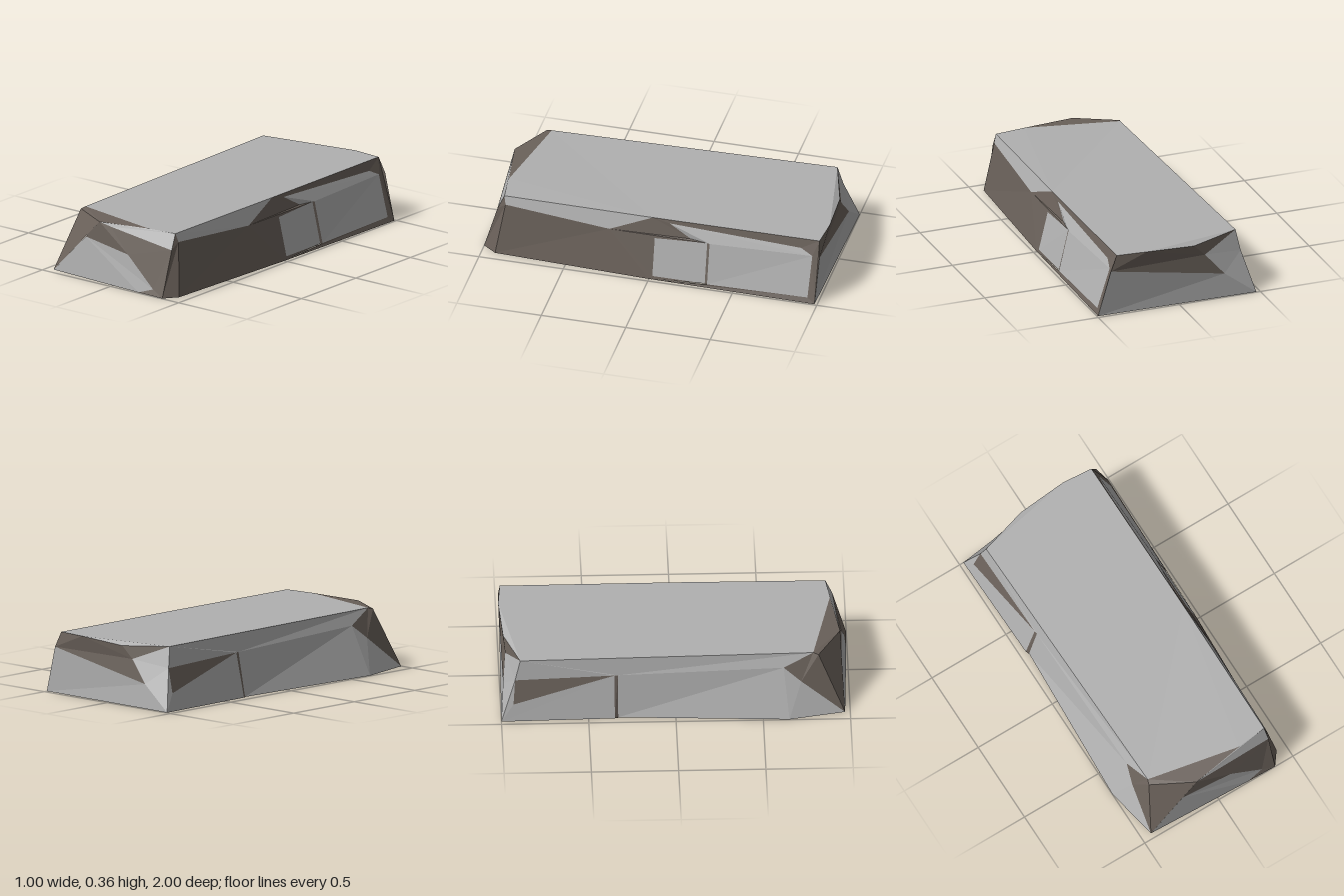
import * as THREE from 'three';

const stone = new THREE.MeshStandardMaterial({ color: 0xb0b0b0 });
stone.name = 'pale grey stone';
const earth = new THREE.MeshStandardMaterial({ color: 0x6a615a });
earth.name = 'brown grey stone';

// Corners of the chipped slab, grouped by where they sit
const V = {
  // rim of the top
  P: [-0.35, 0.358, 0.79], R: [0.2, 0.36, 0.9], S: [0.38, 0.36, 0.88], W: [0.385, 0.36, 0],
  K: [0.38, 0.36, -0.985], K2: [0.2, 0.36, -1], O: [-0.39, 0.36, -0.89],
  // outline of the base
  F: [-0.44, 0.005, 0.97], B0: [0.2, 0, 0.995], B: [0.38, 0, 1], C: [0.44, 0, 0.92],
  D: [0.48, 0, 0], E: [0.495, 0, -0.985], G: [-0.475, 0, -1],
  g1: [-0.46, 0, -0.35], g2: [-0.45, 0, -0.33], Lb: [-0.5, 0, 0.65],
  // front
  A: [-0.12, 0.35, 0.95], Q: [-0.36, 0.35, 0.82], M: [-0.04, 0.335, 0.945], T: [0.385, 0.27, 0.92],
  l1: [-0.216, 0.245, 0.956], l2: [0.1, 0.2, 0.965], l3: [0.3, 0.035, 0.985],
  // model's left side (+x)
  U: [0.395, 0.31, 0.87], v: [0.415, 0.26, 0.25], X: [0.39, 0.34, -0.1], Y: [0.405, 0.265, -0.23],
  Z: [0.395, 0.305, -0.88], z2: [0.41, 0.27, -0.95],
  a1: [0.475, 0.02, -0.02], a2: [0.42, 0.245, -0.02], a3: [0.418, 0.26, -0.33], a4: [0.475, 0.02, -0.33],
  b1: [0.48, 0.02, -0.345], b2: [0.422, 0.26, -0.345], b3: [0.482, 0.03, -0.94],
  // back
  H: [0.42, 0.27, -0.995], I: [-0.17, 0.27, -0.97], J: [-0.285, 0.14, -0.985],
  N: [-0.41, 0.24, -0.92], m: [-0.1, 0.34, -0.98],
  // model's right side (-x)
  c: [-0.45, 0.1, -0.93], n2: [-0.4, 0.255, -0.35], n3: [-0.385, 0.28, 0.62],
  n2b: [-0.398, 0.255, -0.33], n4: [-0.41, 0.2, 0.72],
};

// Flat-sided patch from polygons; each is fanned and turned to face outwards
function patch(name, material, polygons) {
  const out = [];
  for (const word of polygons) {
    const p = word.split(' ').map((k) => new THREE.Vector3(...V[k]));
    for (let i = 1; i < p.length - 1; i++) {
      const t = [p[0], p[i], p[i + 1]];
      const n = new THREE.Vector3().subVectors(t[1], t[0]).cross(new THREE.Vector3().subVectors(t[2], t[0]));
      const mid = t[0].clone().add(t[1]).add(t[2]).divideScalar(3);
      mid.sub(new THREE.Vector3(0, 0.18, THREE.MathUtils.clamp(mid.z, -0.6, 0.6)));
      if (n.dot(mid) < 0) t.reverse();
      t.forEach((q) => out.push(q.x, q.y, q.z));
    }
  }
  const g = new THREE.BufferGeometry();
  g.setAttribute('position', new THREE.Float32BufferAttribute(out, 3));
  g.computeVertexNormals();
  const mesh = new THREE.Mesh(g, material);
  mesh.name = name;
  return mesh;
}

export function createModel() {
  const slab = new THREE.Group();
  slab.name = 'stoneSlab';

  // Top and underside
  slab.add(patch('topFace', stone, ['W K K2 O P R S']));
  slab.add(patch('underside', stone, ['D E G g1 g2 Lb F B0 B C']));

  // Front end
  slab.add(patch('frontChips', stone, ['l1 F B0 l3 l2', 'M T S', 'A M S R']));
  slab.add(patch('frontFace', earth, [
    'A l1 l2 M', 'M l2 T', 'l2 l3 T', 'l3 B T', 'B0 B l3', 'F A Q', 'Q A P', 'P A R',
    'B C U T', 'T U S',
  ]));

  // Left side with its two worn panels and the groove between
  slab.add(patch('leftPanels', stone, [
    'S U v W', 'a1 a2 a3 a4', 'b1 b2 z2 b3', 'X Y b2', 'X b2 z2 Z', 'Y a3 b2',
  ]));
  slab.add(patch('leftFace', earth, [
    'C D v U', 'W X Y v', 'W K Z X', 'K z2 Z', 'v Y a3 a2', 'v a2 a1 D',
    'D a1 a4 b1 b3 E', 'a3 a4 b1 b2', 'z2 b3 E K',
  ]));

  // Back end
  slab.add(patch('backChips', stone, ['J H E G', 'I J N', 'J G N', 'I N O', 'K2 m O']));
  slab.add(patch('backFace', earth, ['H J I K2', 'H K2 K', 'K H E', 'K2 I m', 'm I O']));

  // Right side
  slab.add(patch('rightFace', stone, [
    'G g1 n2 c', 'G c N', 'g2 Lb n3 n2b', 'O N n2', 'O n2 n2b', 'O n2b P', 'n2b n3 P',
    'n3 Lb n4', 'n4 Lb F',
  ]));
  slab.add(patch('rightChips', earth, ['N n2 c', 'g1 g2 n2b n2', 'P n3 n4 Q', 'n4 F Q']));

  // Seam across the underside
  const seam = new THREE.Mesh(new THREE.BoxGeometry(0.93, 0.004, 0.012), earth);
  seam.name = 'undersideSeam';
  seam.position.set(0.012, 0, -0.338);
  slab.add(seam);
  slab.position.y = 0.002;

  const model = new THREE.Group();
  model.add(slab);
  return model;
}
